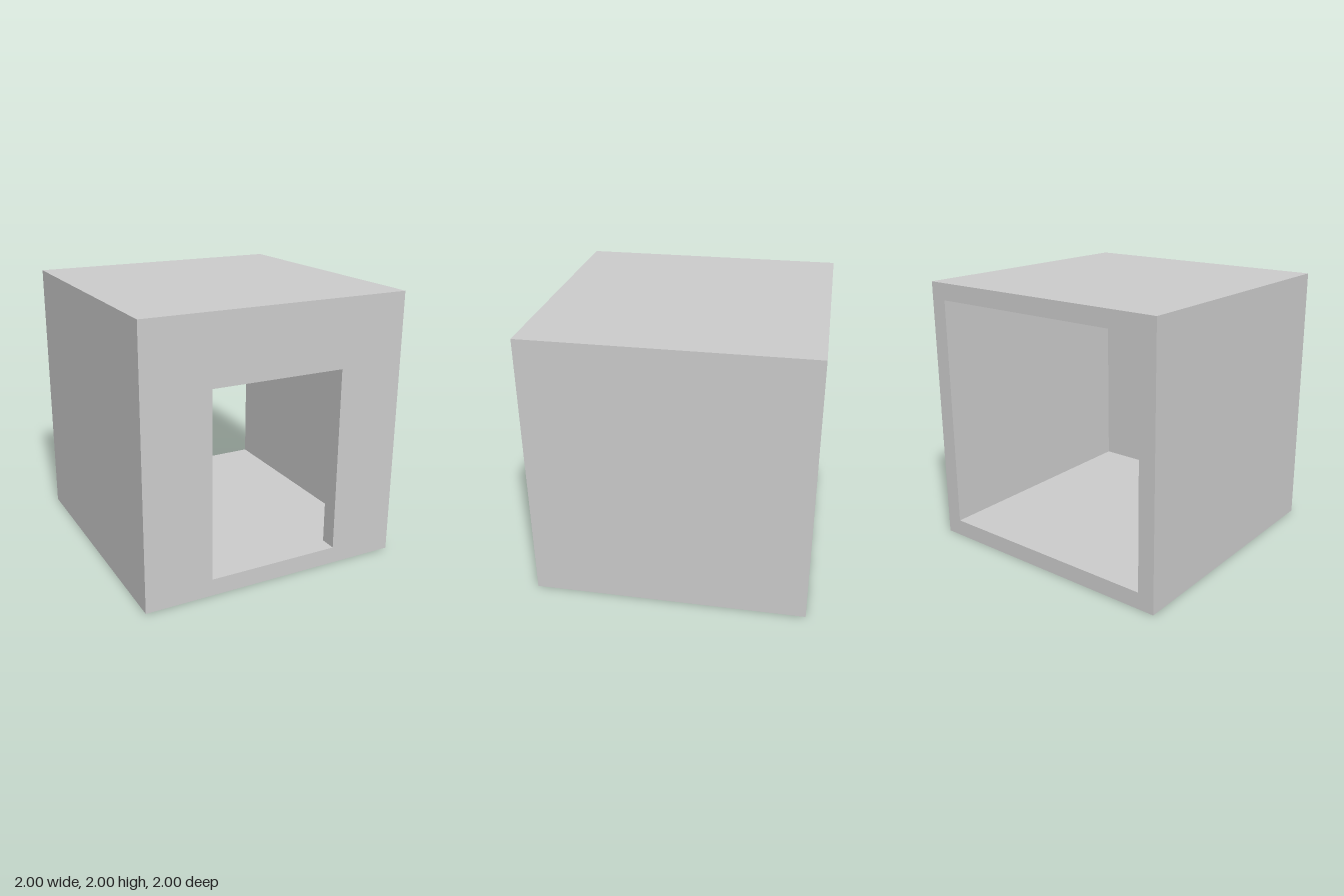
import * as THREE from 'three';

// Rectangular cross-section: four corners, counter-clockwise seen from +z
const rect = (halfWidth, bottom, top, z) => [
  [-halfWidth, bottom, z], [halfWidth, bottom, z],
  [halfWidth, top, z], [-halfWidth, top, z],
];

// Join rectangular loops into one closed skin; the last loop meets the first
function skinLoops(loops) {
  const positions = [];
  const corner = new THREE.Vector3();
  const triangle = new THREE.Triangle();
  const addTriangle = (...points) => {
    triangle.set(...points.map((p) => new THREE.Vector3(...p)));
    if (triangle.getArea() < 1e-6) return; // the sill is level with the floor
    for (const p of points) positions.push(...corner.set(...p).toArray());
  };
  loops.forEach((a, i) => {
    const b = loops[(i + 1) % loops.length];
    for (let j = 0; j < 4; j++) {
      const k = (j + 1) % 4;
      addTriangle(a[j], b[j], b[k]);
      addTriangle(a[j], b[k], a[k]);
    }
  });
  const geometry = new THREE.BufferGeometry();
  geometry.setAttribute('position', new THREE.Float32BufferAttribute(positions, 3));
  geometry.computeVertexNormals();
  return geometry;
}

export function createModel() {
  const group = new THREE.Group();
  group.name = 'room';

  const wall = 0.125;
  const inner = 1 - wall;

  // Hollow cube with an open back and a doorway in the front wall
  const geometry = skinLoops([
    rect(0.5, wall, 1.5, 1),              // doorway, outside
    rect(1, 0, 2, 1),                     // outer front edge
    rect(1, 0, 2, -1),                    // outer back edge
    rect(inner, wall, 2 - wall, -1),      // open back
    rect(inner, wall, 2 - wall, inner),   // inside of the front wall
    rect(0.5, wall, 1.5, inner),          // doorway, inside
  ]);
  const material = new THREE.MeshStandardMaterial({ color: 0xcccccc, flatShading: true });
  const shell = new THREE.Mesh(geometry, material);
  shell.name = 'roomShell';
  group.add(shell);

  return group;
}
